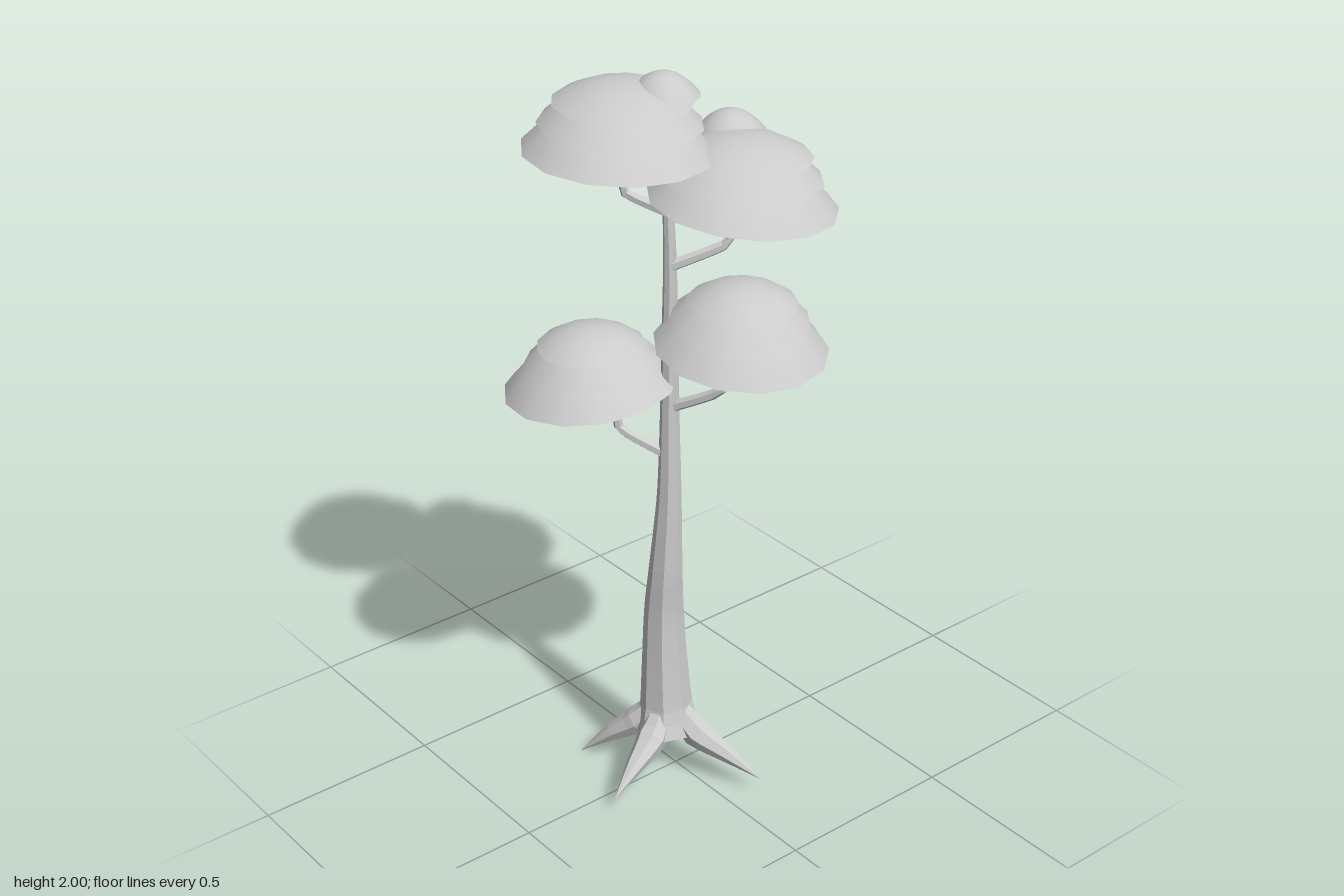
import * as THREE from 'three';

const barkMat = new THREE.MeshStandardMaterial({ color: 0xcccccc, flatShading: true });
const leafMat = new THREE.MeshStandardMaterial({ color: 0xcccccc, side: THREE.DoubleSide });
const V = (p) => new THREE.Vector3(...p);

// Tapered limb: a tube whose rings are rescaled to the radii listed along it
function limb(name, points, radii, segments, sides, tension = 0.5) {
  const curve = new THREE.CatmullRomCurve3(points.map(V), false, 'catmullrom', tension);
  const geo = new THREE.TubeGeometry(curve, segments, 1, sides);
  const pos = geo.attributes.position;
  const v = new THREE.Vector3();
  for (let i = 0; i <= segments; i++) {
    const u = i / segments;
    const centre = curve.getPointAt(u);
    const t = curve.getUtoTmapping(u) * (radii.length - 1);
    const k = Math.min(Math.floor(t), radii.length - 2);
    const r = THREE.MathUtils.lerp(radii[k], radii[k + 1], t - k);
    for (let j = 0; j <= sides; j++) {
      const n = i * (sides + 1) + j;
      v.fromBufferAttribute(pos, n).sub(centre).multiplyScalar(r).add(centre);
      pos.setXYZ(n, v.x, v.y, v.z);
    }
  }
  geo.computeVertexNormals();
  const mesh = new THREE.Mesh(geo, barkMat);
  mesh.name = name;
  return mesh;
}

// Open shallow dome of leaves
function dome(name, radius, height, sides = 13) {
  const profile = [];
  for (let i = 0; i <= 7; i++) {
    const s = 1 - i / 7;
    profile.push(new THREE.Vector2(radius * s, height * (1 - Math.pow(s, 2.1))));
  }
  const mesh = new THREE.Mesh(new THREE.LatheGeometry(profile, sides), leafMat);
  mesh.name = name;
  return mesh;
}

// Stacked domes: each layer is [radius, height, x, y, z]
function canopy(name, centre, tilt, layers) {
  const group = new THREE.Group();
  group.name = name;
  group.position.set(...centre);
  layers.forEach(([r, h, x, y, z], i) => {
    const d = dome('leafLayer', r, h);
    d.position.set(x, y, z);
    d.rotation.set(tilt[0] * (1 - 0.4 * i), i * 0.7, tilt[1] * (1 - 0.4 * i), 'XZY');
    group.add(d);
  });
  return group;
}

// Elbowed branch from the trunk, with twigs reaching into the leaves
function branch(name, start, elbow, top) {
  const group = new THREE.Group();
  group.name = name;
  group.add(limb('bough', [start, elbow, top], [0.016, 0.013, 0.006], 12, 6, 0.15));
  const [ex, ey, ez] = elbow;
  const rise = top[1] - ey;
  for (const [dx, dz, at] of [[0.045, 0.02, 0.45], [-0.035, -0.04, 0.6]]) {
    const y0 = ey + rise * at;
    group.add(limb('twig', [
      [ex, y0, ez],
      [ex + dx, y0 + 0.015, ez + dz],
      [ex + dx * 1.1, top[1] + 0.005, ez + dz * 1.1],
    ], [0.008, 0.007, 0.003], 8, 5, 0.15));
  }
  return group;
}

export function createModel() {
  const tree = new THREE.Group();
  tree.name = 'tree';

  // Trunk, closed underneath and tapering to the crown
  tree.add(limb('trunk', [
    [-0.02, 0.09, -0.01], [-0.02, 0.12, -0.01], [-0.02, 0.2, -0.015], [-0.02, 0.35, -0.022],
    [-0.02, 0.5, -0.024], [-0.022, 0.63, -0.014], [-0.018, 0.85, -0.004], [-0.015, 1.05, -0.005],
    [-0.015, 1.3, -0.004], [-0.014, 1.5, -0.004], [-0.016, 1.66, -0.008],
  ], [0, 0.095, 0.072, 0.061, 0.053, 0.045, 0.032, 0.026, 0.021, 0.017, 0.014], 40, 8));

  // Roots spreading from the foot of the trunk
  for (const [x, y, z] of [[-0.28, 0.06, 0.09], [0.085, 0.05, 0.255], [-0.17, 0, -0.205], [0.165, 0.035, -0.15]]) {
    const along = (f, h) => [-0.02 + (x + 0.02) * f, h, -0.01 + (z + 0.01) * f];
    tree.add(limb('root', [
      along(0.1, 0.2), along(0.32, 0.135), along(0.65, y * 0.4 + 0.075), along(1, y),
    ], [0.03, 0.042, 0.024, 0.001], 10, 7));
  }

  // Branches, lowest first
  tree.add(
    branch('lowerRightBranch', [-0.02, 0.975, -0.01], [-0.105, 1.045, -0.1], [-0.115, 1.25, -0.11]),
    branch('lowerLeftBranch', [-0.015, 1.115, 0], [0.055, 1.185, 0.115], [0.06, 1.4, 0.13]),
    branch('upperLeftBranch', [-0.012, 1.505, 0], [0.1, 1.565, 0.085], [0.1, 1.74, 0.085]),
    branch('upperRightBranch', [-0.016, 1.645, -0.006], [-0.11, 1.705, -0.06], [-0.115, 1.87, -0.07]),
  );

  // Canopies of overlapping leaf layers
  tree.add(
    canopy('lowerRightCanopy', [-0.15, 1.16, -0.158], [-0.05, 0.08], [
      [0.224, 0.13, 0, 0, 0], [0.175, 0.09, 0.005, 0.065, 0], [0.14, 0.05, 0.005, 0.11, 0]]),
    canopy('lowerLeftCanopy', [0.08, 1.317, 0.158], [0.12, 0], [
      [0.22, 0.13, 0, 0, 0], [0.175, 0.09, 0.005, 0.07, -0.01], [0.14, 0.05, 0.01, 0.113, -0.01]]),
    canopy('upperLeftCanopy', [0.14, 1.663, 0.087], [0.075, -0.075], [
      [0.238, 0.13, 0, 0, 0], [0.202, 0.09, 0, 0.065, -0.005], [0.175, 0.055, 0, 0.115, -0.005],
      [0.092, 0.06, 0.043, 0.137, -0.1]]),
    canopy('upperRightCanopy', [-0.112, 1.808, -0.08], [0.04, -0.03], [
      [0.237, 0.13, 0, 0, 0], [0.202, 0.09, 0.005, 0.067, 0.005], [0.173, 0.05, 0.01, 0.122, 0.008],
      [0.09, 0.058, 0.088, 0.134, 0.064]]),
  );
  return tree;
}
